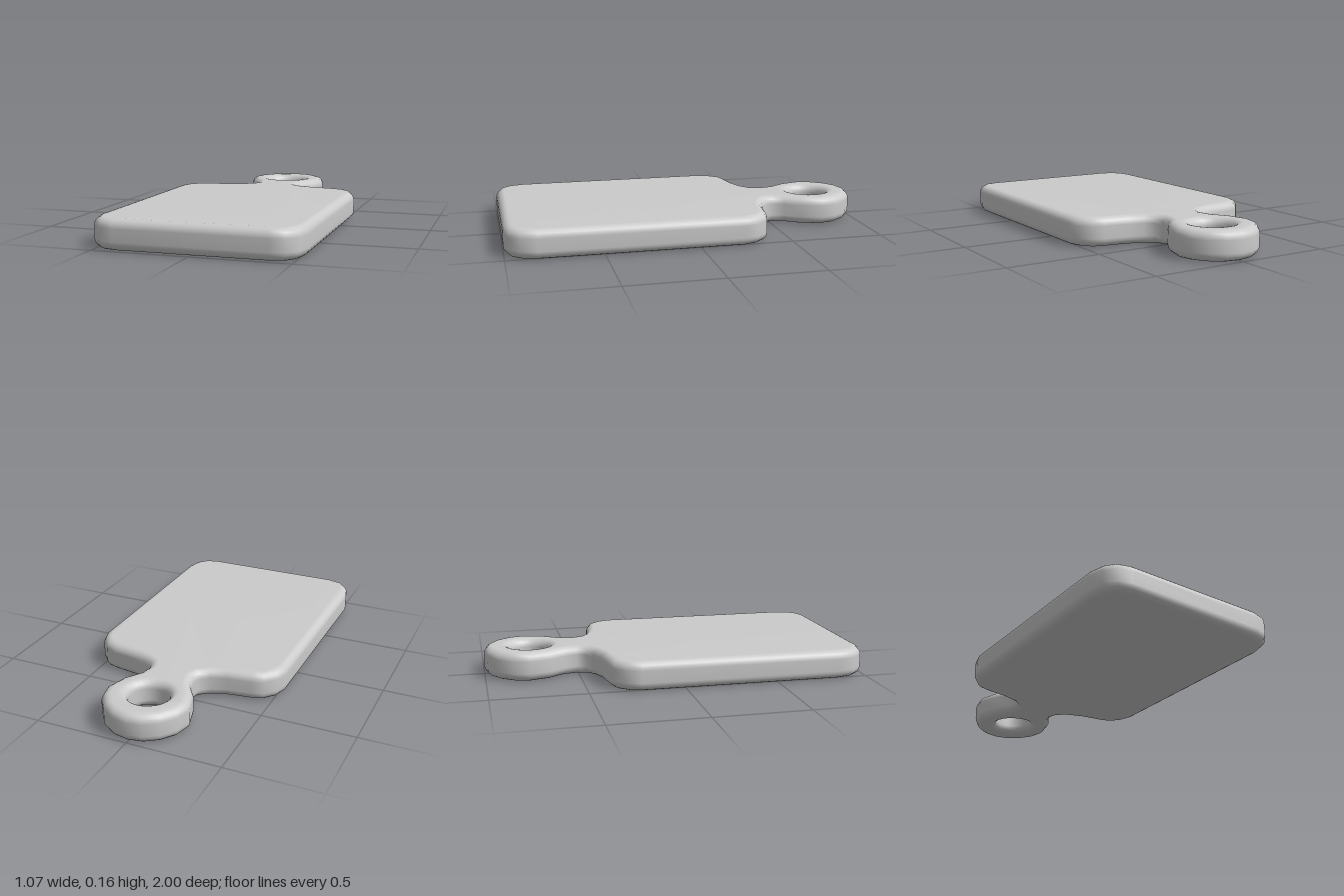
import * as THREE from 'three';
import { mergeVertices } from 'three/addons/utils/BufferGeometryUtils.js';

const HEIGHT = 0.155, BEVEL = 0.045;

// Right half of the outline, from the front edge to the tip of the handle
const HALF_OUTLINE = [
  [0.39, -1], [0.465, -0.98], [0.515, -0.925], [0.537, -0.84],
  [0.537, 0.235], [0.515, 0.305], [0.462, 0.367], [0.4, 0.386],
  [0.27, 0.405], [0.19, 0.432], [0.145, 0.465], [0.13, 0.51], [0.145, 0.575],
  [0.198, 0.655], [0.231, 0.77], [0.21, 0.86], [0.155, 0.935], [0.083, 0.984],
];

export function createModel() {
  const group = new THREE.Group();
  group.name = 'cuttingBoard';

  // Mirrored outline with a hanging hole in the handle
  const right = HALF_OUTLINE.map(([x, y]) => new THREE.Vector2(x, y));
  const left = HALF_OUTLINE.map(([x, y]) => new THREE.Vector2(-x, y)).reverse();
  const shape = new THREE.Shape([...right, new THREE.Vector2(0, 1), ...left]);
  const hole = new THREE.Path();
  hole.absarc(0, 0.755, 0.105, 0, Math.PI * 2, true);
  shape.holes.push(hole);

  // Rounded slab, laid flat on the ground
  let geometry = new THREE.ExtrudeGeometry(shape, {
    depth: HEIGHT - 2 * BEVEL, curveSegments: 12,
    bevelThickness: BEVEL, bevelSize: BEVEL, bevelOffset: -BEVEL, bevelSegments: 5,
  });
  geometry.translate(0, 0, BEVEL);
  geometry.rotateX(-Math.PI / 2);

  // Weld the corners so that the shading is smooth all round
  geometry.deleteAttribute('normal');
  geometry.deleteAttribute('uv');
  geometry = mergeVertices(geometry, 1e-4);
  geometry.computeVertexNormals();

  const board = new THREE.Mesh(geometry, new THREE.MeshStandardMaterial({ color: 0xcccccc }));
  board.name = 'boardWithHandle';
  group.add(board);
  return group;
}
